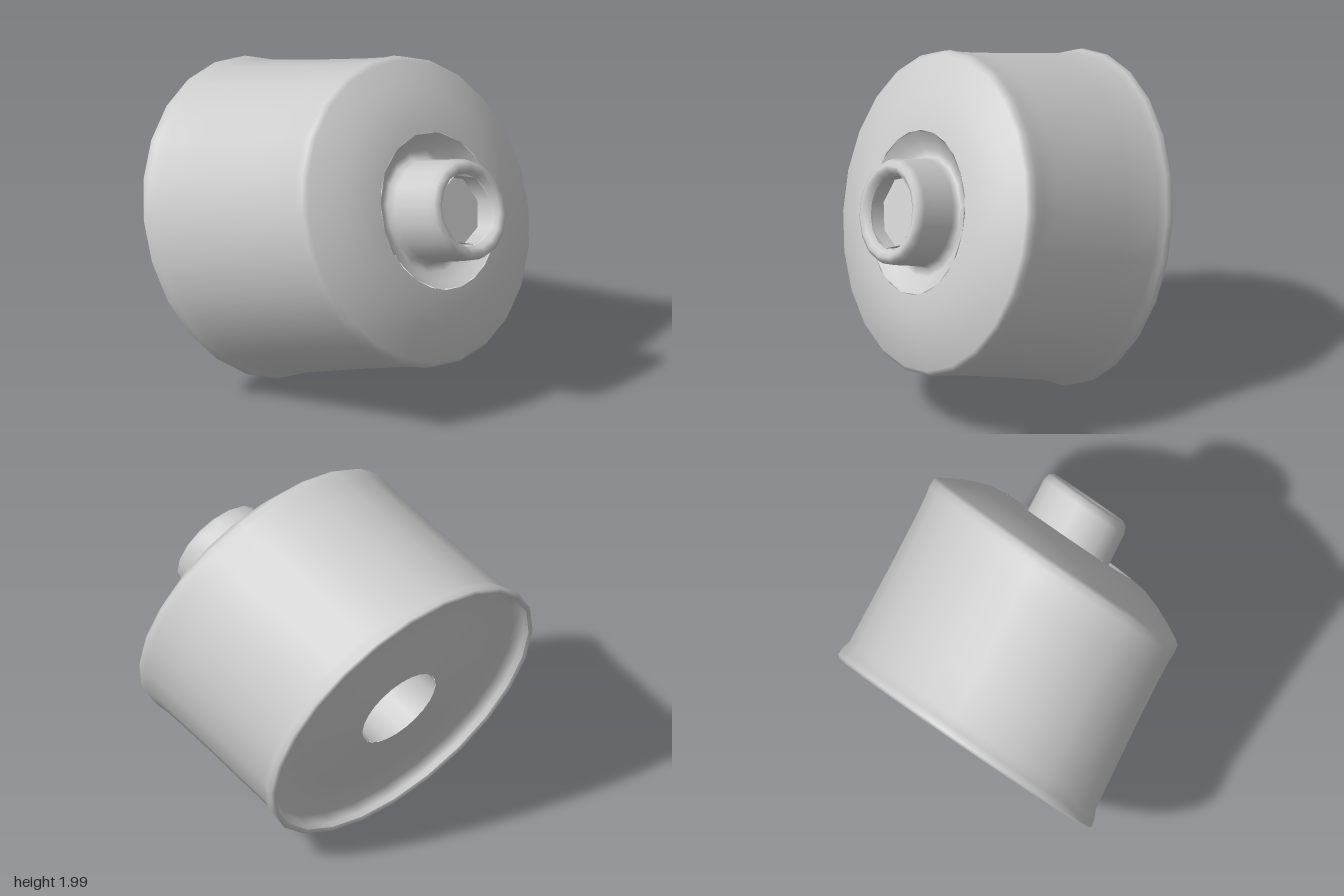
import * as THREE from 'three';

// Skewed frame: two ring half-axes, the axle, and the centre of the rear rim
const ringSide = new THREE.Vector3(-0.39, 0, 0.755);
const ringUp = new THREE.Vector3(-0.28, 0.86, -0.06);
const axle = new THREE.Vector3(1.0, 0.31, 0.35);
const skew = new THREE.Matrix4()
  .makeBasis(ringSide, axle, ringUp)
  .setPosition(-0.5, 0.86, -0.165);

const material = new THREE.MeshStandardMaterial({ color: 0xcccccc, side: THREE.DoubleSide });

// Turns a profile of [radius, distance along axle] into a skewed ring part
function turned(name, profile, sides) {
  const geometry = new THREE.LatheGeometry(profile.map(([r, t]) => new THREE.Vector2(r, t)), sides);
  geometry.applyMatrix4(skew);
  const mesh = new THREE.Mesh(geometry, material);
  mesh.name = name;
  return mesh;
}

export function createModel() {
  const group = new THREE.Group();
  group.name = 'hubbedDrum';

  group.add(
    // Shallow dished back plate with the bore opening, blending into the lip
    turned('backPlate', [[0.28, 0.03], [0.65, 0.06], [0.93, 0.08], [0.955, 0.03], [0.965, 0.005]], 24),
    // Thin rear lip, slightly waisted wall, soft shoulder and sloping front face
    turned('drumShell', [[0.965, 0.005], [0.985, -0.005], [1.0, 0.01], [0.995, 0.045], [0.972, 0.09],
      [0.966, 0.3], [0.959, 0.55], [0.957, 0.8], [0.96, 0.9], [0.968, 0.95], [0.964, 0.99],
      [0.94, 1.01], [0.82, 1.06], [0.72, 1.095], [0.6, 1.125], [0.49, 1.135]], 24),
    // Shallow groove sweeping up into the projecting hub with its rounded end
    turned('hub', [[0.49, 1.135], [0.44, 1.095], [0.38, 1.065], [0.335, 1.06], [0.32, 1.1], [0.318, 1.3],
      [0.305, 1.335], [0.275, 1.35], [0.245, 1.34], [0.225, 1.31]], 16),
    // Eight-sided socket in the hub end and its floor
    turned('socketWall', [[0.225, 1.31], [0.22, 1.23]], 8),
    turned('socketFloor', [[0.22, 1.23], [0, 1.23]], 8),
    // Deep bore from the back up to the socket floor
    turned('rearBore', [[0.22, 1.23], [0.25, 1.1], [0.28, 0.6], [0.28, 0.03]], 16),
  );
  return group;
}
